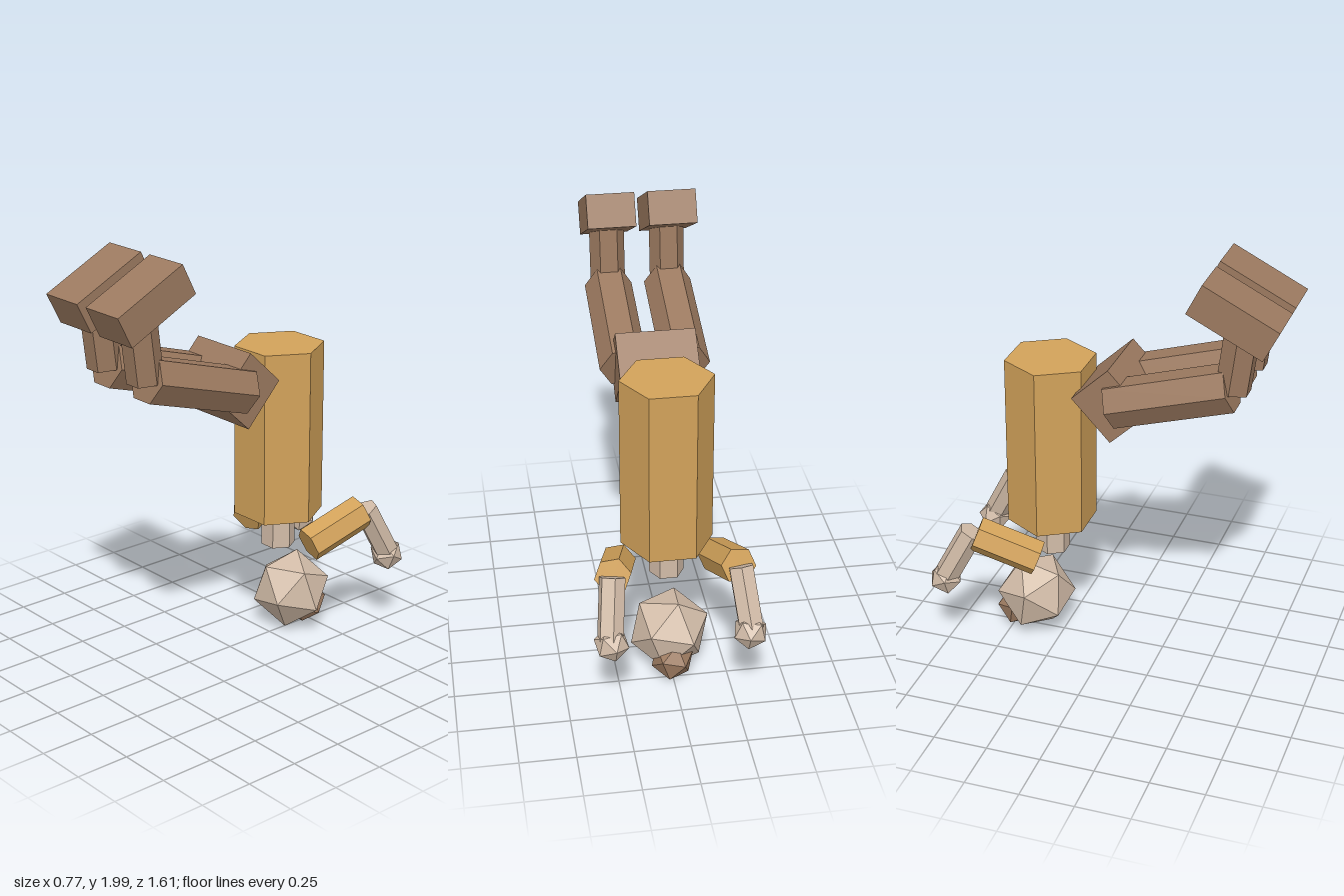
import * as THREE from 'three';

const mat = (name, color) => {
  const m = new THREE.MeshStandardMaterial({ color, flatShading: true });
  m.name = name;
  return m;
};

export function createModel() {
  const mustard = mat('mustard cloth', 0xd2a25a);
  const brown = mat('brown leather', 0x9c7a60);
  const skin = mat('pale skin', 0xd2bca8);
  const model = new THREE.Group();
  model.name = 'tumblingFigure';

  const add = (name, geometry, material, pos, rot = [0, 0, 0]) => {
    const mesh = new THREE.Mesh(geometry, material);
    mesh.name = name;
    mesh.position.set(...pos);
    mesh.rotation.set(...rot);
    model.add(mesh);
    return mesh;
  };

  // Six-sided prism running from a to b, with corners towards +x and -x
  const rod = (name, material, radius, a, b) => {
    const start = new THREE.Vector3(...a);
    const dir = new THREE.Vector3(...b).sub(start);
    const length = dir.length();
    const geometry = new THREE.CylinderGeometry(radius, radius, length, 6).rotateY(Math.PI / 6);
    const mid = start.addScaledVector(dir, 0.5);
    const mesh = add(name, geometry, material, mid.toArray());
    mesh.quaternion.setFromUnitVectors(new THREE.Vector3(0, 1, 0), dir.normalize());
  };

  // Trunk, upside down
  rod('torso', mustard, 0.21, [0, 0.63, -0.3], [0, 1.45, -0.297]);
  rod('neck', skin, 0.08, [0, 0.46, -0.3], [0, 0.66, -0.3]);
  add('pelvis', new THREE.BoxGeometry(0.36, 0.233, 0.262), brown, [0, 1.335, 0.04], [0.815, 0, 0]);

  // Head and hair bun share one tilt
  const tilt = [-1.37, -0.229, -0.055];
  add('head', new THREE.IcosahedronGeometry(0.188), skin, [0, 0.197, -0.388], tilt);
  add('hairBun', new THREE.IcosahedronGeometry(0.101), brown, [0.0, 0.098, -0.484], tilt);

  // Limbs, mirrored
  for (const [side, s] of [['left', 1], ['right', -1]]) {
    rod(side + 'UpperArm', mustard, 0.083, [s * 0.222, 0.522, -0.292], [s * 0.28, 0.634, -0.57]);
    rod(side + 'Forearm', skin, 0.06, [s * 0.285, 0.645, -0.592], [s * 0.313, 0.4, -0.72]);
    add(side + 'Hand', new THREE.IcosahedronGeometry(0.08), skin, [s * 0.308, 0.386, -0.723], [-0.5, s * 0.2, 0]);

    rod(side + 'Thigh', brown, 0.11, [s * 0.14, 1.333, 0.04], [s * 0.14, 1.497, 0.582]);
    rod(side + 'Shin', brown, 0.081, [s * 0.14, 1.49, 0.588], [s * 0.14, 1.82, 0.628]);
    add(side + 'Foot', new THREE.BoxGeometry(0.22, 0.154, 0.378), brown, [s * 0.14, 1.842, 0.603], [0.465, 0, 0]);
  }
  return model;
}
